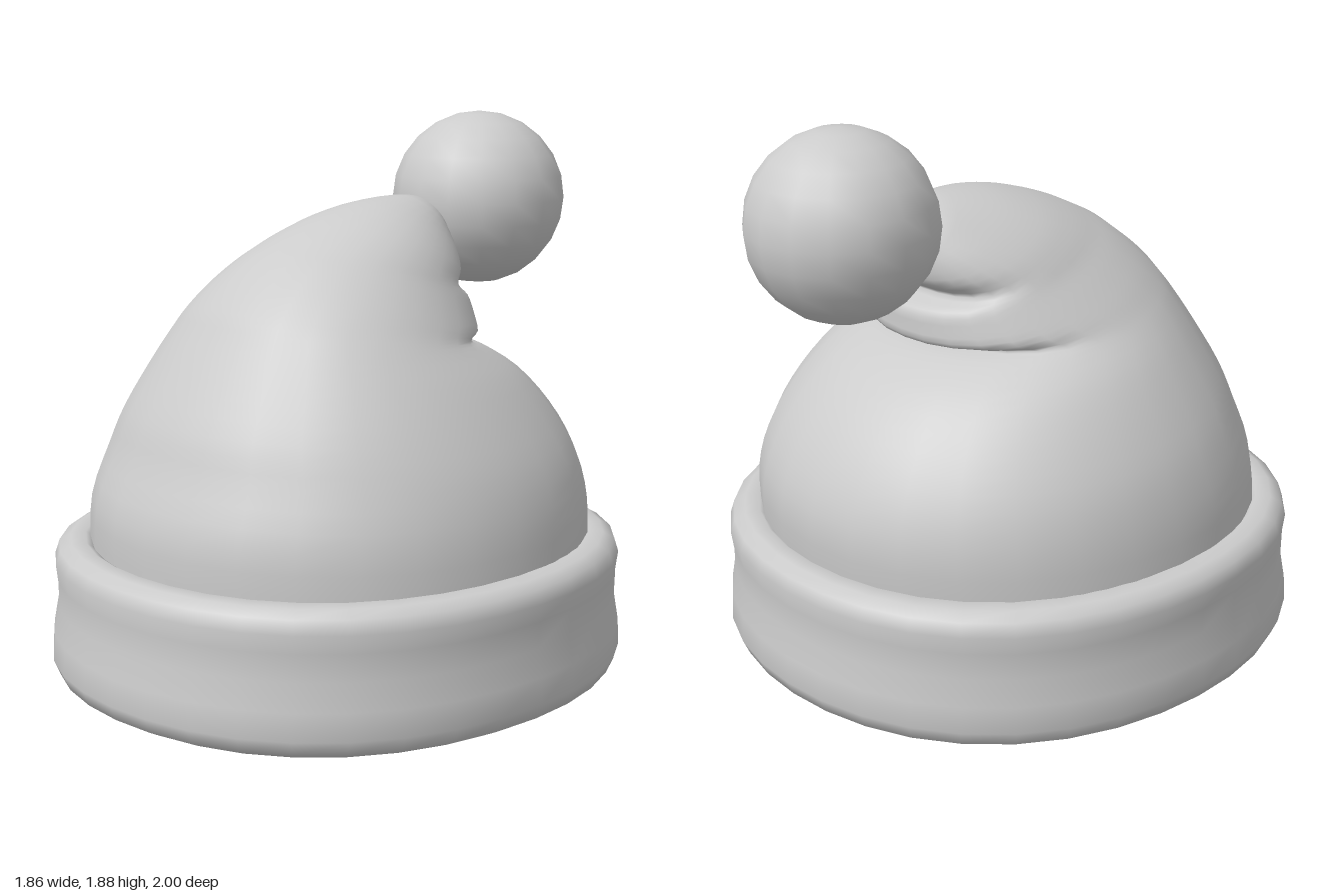
import * as THREE from 'three';

const material = new THREE.MeshStandardMaterial({ color: 0xcccccc, side: THREE.DoubleSide });

// Skins a stack of rings; each ring is a function of the angle from the front.
function loft(rings, seg, closed) {
  const pos = [], idx = [], n = rings.length;
  for (const ring of rings)
    for (let j = 0; j < seg; j++) pos.push(...ring((j / seg) * Math.PI * 2));
  for (let i = 0; i < (closed ? n : n - 1); i++)
    for (let j = 0; j < seg; j++) {
      const k = (j + 1) % seg, up = (i + 1) % n;
      const a = i * seg + j, b = i * seg + k, c = up * seg + k, d = up * seg + j;
      idx.push(a, b, c, a, c, d);
    }
  const g = new THREE.BufferGeometry();
  g.setAttribute('position', new THREE.Float32BufferAttribute(pos, 3));
  g.setIndex(idx);
  g.computeVertexNormals();
  return g;
}

// Slightly fuller than an ellipse on the diagonals.
const fullness = t => 1 + 0.025 * Math.sin(2 * t) ** 2;

function part(name, geometry) {
  const m = new THREE.Mesh(geometry, material);
  m.name = name;
  return m;
}

// Cloth cone that flops backwards, with folds at the back.
function makeBody() {
  // front z, front y, back z, back y, half width, crease depth at the back
  const sections = [
    [0.85, 0.42, -0.85, 0.42, 0.825, 0],
    [0.845, 0.62, -0.86, 0.6, 0.808, 0],
    [0.775, 0.8, -0.82, 0.75, 0.765, 0],
    [0.725, 0.93, -0.73, 0.9, 0.695, 0],
    [0.63, 1.09, -0.6, 1.03, 0.605, 0],
    [0.55, 1.21, -0.45, 1.115, 0.525, 0],
    [0.5, 1.28, -0.44, 1.135, 0.49, 0.09],
    [0.42, 1.36, -0.455, 1.15, 0.455, 0],
    [0.33, 1.43, -0.465, 1.2, 0.405, 0],
    [0.25, 1.475, -0.455, 1.26, 0.36, 0],
    [0.15, 1.52, -0.44, 1.295, 0.33, 0.07],
    [0.02, 1.565, -0.44, 1.34, 0.285, 0],
    [-0.15, 1.6, -0.46, 1.4, 0.205, 0],
    [-0.35, 1.602, -0.46, 1.45, 0.11, 0],
    [-0.43, 1.54, -0.46, 1.5, 0.03, 0],
  ];
  const curve = f => new THREE.CatmullRomCurve3(sections.map(f), false, 'catmullrom', 0.5);
  const front = curve(s => new THREE.Vector3(s[5], s[1], s[0]));
  const back = curve(s => new THREE.Vector3(s[4], s[3], s[2]));
  const rings = [], steps = (sections.length - 1) * 3;
  for (let i = 0; i <= steps; i++) {
    const f = front.getPoint(i / steps), b = back.getPoint(i / steps);
    rings.push(t => {
      const c = Math.cos(t), full = fullness(t), lift = ((1 + c) / 2) ** 1.3;
      const crease = f.x * Math.max(0, -c) ** 2;
      return [
        b.x * Math.sin(t) * full,
        b.y + (f.y - b.y) * lift,
        (f.z + b.z) / 2 + ((f.z - b.z) / 2) * c * full + crease,
      ];
    });
  }
  return part('body', loft(rings, 28, false));
}

// Thick turned-up band, slightly pinched around its middle.
function makeBrim() {
  const profile = [
    [0.82, 0.003], [0.865, 0.006], [0.91, 0.03], [0.932, 0.08], [0.927, 0.17], [0.912, 0.26],
    [0.914, 0.35], [0.922, 0.41], [0.908, 0.455], [0.87, 0.477], [0.82, 0.48],
    [0.79, 0.46], [0.78, 0.4], [0.78, 0.25], [0.78, 0.09], [0.79, 0.03],
  ];
  const rings = profile.map(([r, y]) => t => {
    const lean = 0.015 * (1 - y / 0.48) * Math.max(0, Math.cos(t));
    return [r * Math.sin(t) * fullness(t), y, (r + 0.05) * Math.cos(t) * fullness(t) + 0.005 + lean];
  });
  return part('brim', loft(rings, 36, true));
}

export function createModel() {
  const hat = new THREE.Group();
  hat.name = 'bobbleHat';
  const pompom = part('pompom', new THREE.SphereGeometry(0.308, 16, 12));
  pompom.position.set(0, 1.573, -0.692);
  hat.add(makeBody(), makeBrim(), pompom);
  return hat;
}
